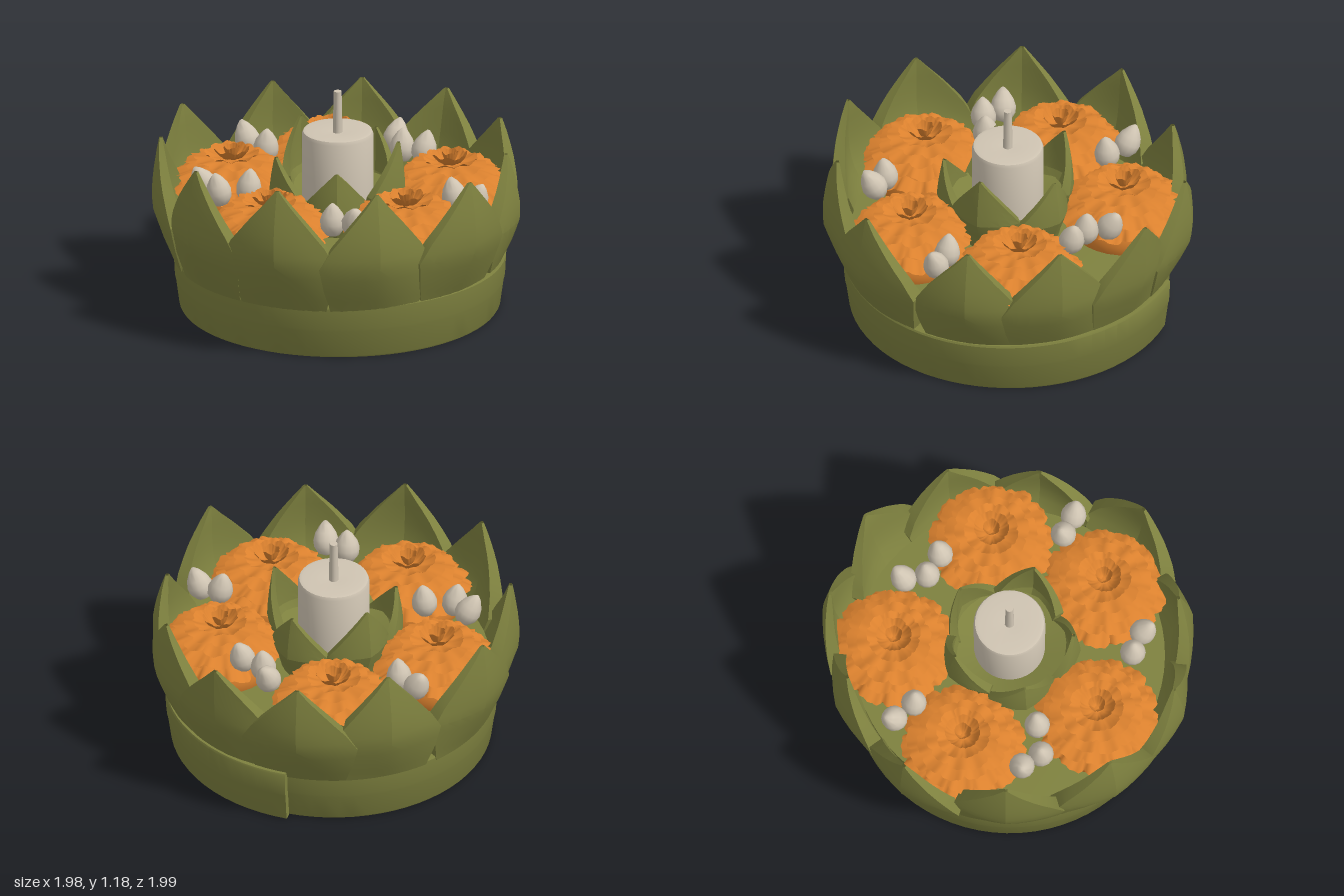
import * as THREE from 'three';
import { toCreasedNormals } from 'three/addons/utils/BufferGeometryUtils.js';

const mat = (name, color, side = THREE.FrontSide) => {
  const m = new THREE.MeshStandardMaterial({ color, side });
  m.name = name;
  return m;
};
const green = mat('leaf green', 0x7e813f, THREE.DoubleSide);
const orange = mat('marigold orange', 0xdb812e, THREE.DoubleSide);
const cream = mat('cream', 0xcfc4b2);

function mesh(name, geometry, material, parent) {
  const m = new THREE.Mesh(geometry, material);
  m.name = name;
  parent.add(m);
  return m;
}

// Surface from a rule f(u, v) -> [x, y, z], u and v in 0..1
function grid(f, nu, nv, crease) {
  const pos = [], idx = [];
  for (let j = 0; j <= nv; j++)
    for (let i = 0; i <= nu; i++) pos.push(...f(i / nu, j / nv));
  for (let j = 0; j < nv; j++)
    for (let i = 0; i < nu; i++) {
      const a = j * (nu + 1) + i, b = a + nu + 1;
      idx.push(a, a + 1, b, a + 1, b + 1, b);
    }
  const g = new THREE.BufferGeometry();
  g.setAttribute('position', new THREE.Float32BufferAttribute(pos, 3));
  g.setIndex(idx);
  g.computeVertexNormals();
  return crease ? toCreasedNormals(g, crease) : g;
}

const polar = (a, r, y) => [Math.cos(a) * r, y, Math.sin(a) * r];
const lathe = (points, sides, crease) => toCreasedNormals(
  new THREE.LatheGeometry(points.map(p => new THREE.Vector2(...p)), sides), crease);

// Linear lookup in a short list of rows
function sample(rows, t) {
  const k = Math.min(t * (rows.length - 1), rows.length - 1.0001);
  const i = Math.floor(k), f = k - i;
  return rows[i].map((v, c) => v + (rows[i + 1][c] - v) * f);
}

// Folded pointed leaf; rows hold [height 0..1, radius, width 0..1].
// It is thick at the foot, thin at the tip; lean moves the tip in or out,
// swell moves the middle, shingle turns one edge out and the other in.
function leaf(rows, { angle, half, y0, y1, thick, ridge, shingle = 0, lean = 0, swell = 0 }) {
  const n = 8, loop = [];
  for (let i = 0; i <= n; i++) loop.push([1 - 2 * i / n, 0]);
  for (let i = 0; i <= n; i++) loop.push([-1 + 2 * i / n, 1]);
  loop.push(loop[0]);
  return grid((u, v) => {
    const [w, inner] = loop[Math.round(u * (loop.length - 1))];
    const [h, R, width] = sample(rows, v);
    const rise = Math.sin(Math.min(1, v * 1.6) * Math.PI / 2);
    const side = (ridge * (1 - Math.abs(w)) + shingle * w) * rise * width;
    const r = R + lean * h * h + swell * Math.sin(h * Math.PI) + side - inner * (0.015 + thick * (1 - v));
    return polar(angle + w * width * half, r, y0 + (y1 - y0) * h);
  }, loop.length - 1, 12, 0.3);
}

const outerRows = [[0, 0.865, 0.82], [0.2, 0.905, 0.93], [0.4, 0.935, 1], [0.56, 0.945, 0.8],
  [0.74, 0.955, 0.49], [0.9, 0.96, 0.2], [1, 0.96, 0.03]];
const innerRows = [[0, 0.25, 0.9], [0.4, 0.29, 1], [0.6, 0.32, 1], [0.8, 0.335, 0.52], [1, 0.345, 0.03]];

// Outer leaves: [angle in degrees, tip height, lean, swell, shingle]
const outerLeaves = [[-1, 0.9, 0.03, -0.01, 0.035], [29.3, 0.89, -0.015, 0, 0.025], [60, 0.87, -0.06, 0, 0],
  [97, 0.92, 0.01, 0.02, 0], [130, 0.93, -0.05, 0.01, 0.02], [163, 0.955, -0.01, 0.02, 0.025],
  [195.5, 0.95, -0.01, 0.02, -0.03], [231, 0.94, -0.02, 0, -0.02], [265, 0.92, 0.01, 0.005, -0.03],
  [301, 0.925, -0.05, 0, 0], [331, 0.9, 0.01, 0.015, 0]];

// Wrapped strip whose radius grows towards the overlapping end
function band() {
  const seam = -0.42, turn = Math.PI * 2 + 0.12;
  const section = [[-0.005, 0.29], [0, 0.28], [-0.006, 0.165], [-0.011, 0.15], [-0.03, 0.01],
    [-0.036, 0], [-0.08, 0], [-0.05, 0.29], [-0.005, 0.29]];
  return grid((u, v) => {
    // the first and last columns fold in to close the strip ends
    const end = u === 0 || u === 1;
    const [dr, y] = section[Math.round(v * 8)];
    const t = Math.min(1, Math.max(0, (u * 74 - 1) / 72));
    const r = 0.908 - 0.035 * Math.min(1, t * 2.2) - 0.012 * t;
    const top = 1 + 0.06 * (1 - Math.min(1, t * 4)) + 0.012 * Math.sin(t * 19);
    return polar(seam + t * turn, r + (end ? -0.045 : dr), y * top);
  }, 74, 8, 0.5);
}

// Marigold layers: [inner radius, inner y, edge radius, edge y, lobes, ruffle]
const layers = [
  [0.18, 0.63, 0.335, 0.58, 13, 0.016], [0.15, 0.68, 0.295, 0.648, 12, 0.015],
  [0.13, 0.715, 0.25, 0.697, 11, 0.014], [0.1, 0.735, 0.2, 0.732, 10, 0.013],
  [0.06, 0.735, 0.145, 0.76, 9, 0.012], [0.03, 0.73, 0.095, 0.785, 7, 0.011],
  [0.01, 0.73, 0.045, 0.795, 5, 0.008],
];

function marigold(spin) {
  const g = new THREE.Group();
  g.name = 'marigold';
  const body = mesh('marigoldBody', new THREE.SphereGeometry(0.285, 28, 16), orange, g);
  body.scale.y = 0.72;
  body.position.y = 0.52;
  layers.forEach(([r0, y0, r1, y1, lobes, ruffle], k) => {
    const phase = spin + k * 1.7;
    mesh('marigoldPetals', grid((u, v) => {
      const a = -u * Math.PI * 2, c = u * lobes;
      const notch = Math.pow(Math.abs((c % 1) - 0.5) * 2, 4);
      const tooth = Math.abs(((c * 3) % 1) - 0.5);
      const edge = r1 * (1 - 0.07 * notch - 0.05 * tooth + 0.025 * Math.sin(a * 3 + k * 2));
      const wave = ruffle * v * Math.sin(c * Math.PI * 2 + k) * 0.7;
      return polar(a + phase, r0 + (edge - r0) * v, y0 + (y1 - y0) * v * v + wave);
    }, lobes * 12, 4), orange, g);
  });
  return g;
}

export function createModel() {
  const model = new THREE.Group();
  model.name = 'floatingFlowerBasket';

  // Base with the floor the flowers rest on
  mesh('baseCore', lathe([[0, 0.005], [0.82, 0.005], [0.845, 0.285], [0.8, 0.3], [0.82, 0.47], [0, 0.48]],
    64, 0.5), green, model);
  mesh('baseBand', band(), green, model);

  // Outer crown of folded leaves
  outerLeaves.forEach(([degrees, tip, lean, swell, shingle]) => {
    mesh('outerLeaf', leaf(outerRows, {
      angle: degrees * Math.PI / 180, half: 0.335, y0: 0.265, y1: tip,
      thick: 0.11, ridge: 0.055, shingle, lean, swell,
    }), green, model);
  });

  // Inner cup of leaves around the candle, and the cup floor
  [0.88, 0.94, 0.84, 0.85, 0.94].forEach((tip, i) => {
    mesh('innerLeaf', leaf(innerRows, {
      angle: i * Math.PI * 0.4, half: 0.66, y0: 0.28, y1: tip,
      thick: 0.07, ridge: 0.06, shingle: 0.01,
    }), green, model);
  });
  mesh('cupFloor', lathe([[0.3, 0.64], [0.18, 0.6]], 30, 0.5), green, model);

  // Flowers
  [[-0.165, -0.575], [0.465, -0.395], [0.46, 0.395], [-0.165, 0.575], [-0.605, 0]].forEach(([x, z], i) => {
    const f = marigold(i * 1.3);
    f.position.set(x, 0, z);
    model.add(f);
  });

  // Candle and wick
  mesh('candle', lathe([[0, 0.48], [0.185, 0.48], [0.188, 0.6], [0.189, 0.945], [0.182, 0.963],
    [0.165, 0.967], [0.04, 0.955], [0, 0.955]], 36, 0.7), cream, model);
  const wick = mesh('wick', toCreasedNormals(new THREE.CylinderGeometry(0.021, 0.026, 0.24, 10, 6), 0.8), cream, model);
  wick.position.y = 1.065;

  // Flower buds: [x, y, z, outward tilt]
  const budGeometry = lathe([[0, -0.085], [0.04, -0.072], [0.064, -0.035], [0.068, 0], [0.056, 0.04],
    [0.03, 0.08], [0.008, 0.102], [0, 0.104]], 14, 1);
  const buds = [
    [0.18, 0.7, -0.73, 0.5], [0.16, 0.69, -0.59, -0.1], [-0.51, 0.71, -0.5, 0.5], [-0.54, 0.7, -0.38, 0.2],
    [-0.42, 0.71, -0.27, -0.1], [0.65, 0.71, -0.1, 0.5], [0.57, 0.7, 0, 0.1], [0.59, 0.71, 0.13, 0.3],
    [-0.54, 0.7, 0.37, 0.1], [-0.51, 0.71, 0.49, 0.5], [0.17, 0.69, 0.64, -0.2], [0.2, 0.68, 0.76, 0.4],
  ];
  for (const [x, y, z, tilt] of buds) {
    const bud = mesh('bud', budGeometry, cream, model);
    bud.position.set(x, y, z);
    bud.quaternion.setFromAxisAngle(new THREE.Vector3(z, 0, -x).normalize(), tilt);
  }

  return model;
}
